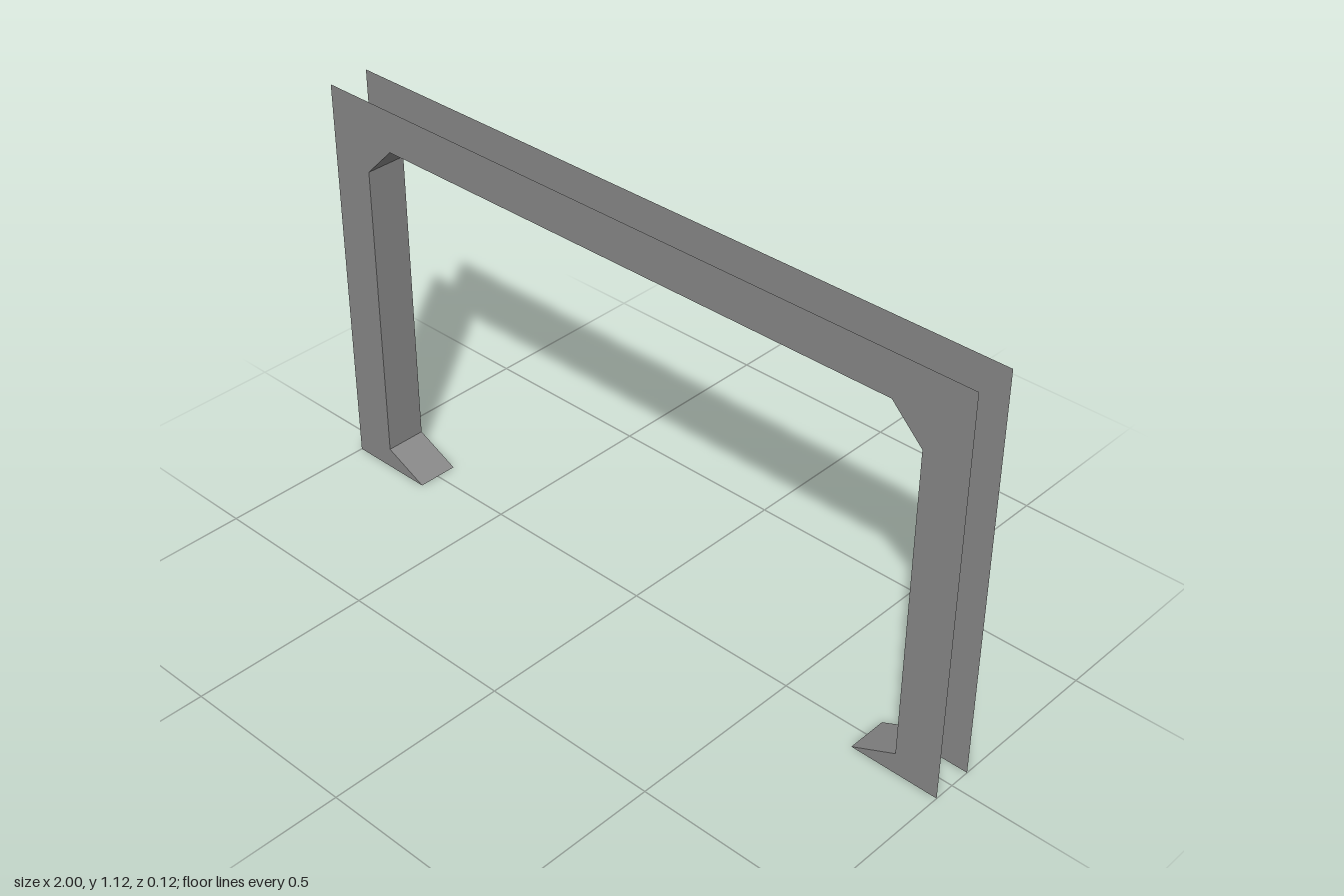
import * as THREE from 'three';

const HALF_DEPTH = 0.058;

// Inner edge of the opening, from the right foot tip round to the left foot tip
const rightEdge = [[-0.75, 0], [-0.876, 0.059], [-0.876, 0.919], [-0.788, 1.007]];
const innerEdge = [...rightEdge, ...rightEdge.map(([x, y]) => [-x, y]).reverse()];

export function createModel() {
  const model = new THREE.Group();
  model.name = 'portalFrame';
  const material = new THREE.MeshStandardMaterial({
    color: 0x878787, flatShading: true, side: THREE.DoubleSide,
  });
  const add = (name, geometry) => {
    const mesh = new THREE.Mesh(geometry, material);
    mesh.name = name;
    model.add(mesh);
    return mesh;
  };

  // Front and back face plates; the outer rim between them is open
  const outline = [[1, 0], [1, 1.122], [-1, 1.122], [-1, 0], ...innerEdge];
  const shape = new THREE.Shape(outline.map(([x, y]) => new THREE.Vector2(x, y)));
  add('frontPlate', new THREE.ShapeGeometry(shape)).position.z = HALF_DEPTH;
  const back = add('backPlate', new THREE.ShapeGeometry(shape));
  back.position.z = -HALF_DEPTH;
  back.rotation.y = Math.PI;

  // Lining panels joining the plates along the inner edge, facing the opening
  const names = ['rightFootSlope', 'rightLegLining', 'rightCornerBrace', 'beamLining',
    'leftCornerBrace', 'leftLegLining', 'leftFootSlope'];
  names.forEach((name, i) => {
    const [x0, y0] = innerEdge[i];
    const [x1, y1] = innerEdge[i + 1];
    const panel = new THREE.PlaneGeometry(Math.hypot(x1 - x0, y1 - y0), 2 * HALF_DEPTH);
    panel.rotateX(Math.PI / 2);
    panel.rotateZ(Math.atan2(y1 - y0, x1 - x0));
    panel.translate((x0 + x1) / 2, (y0 + y1) / 2, 0);
    add(name, panel);
  });

  return model;
}
